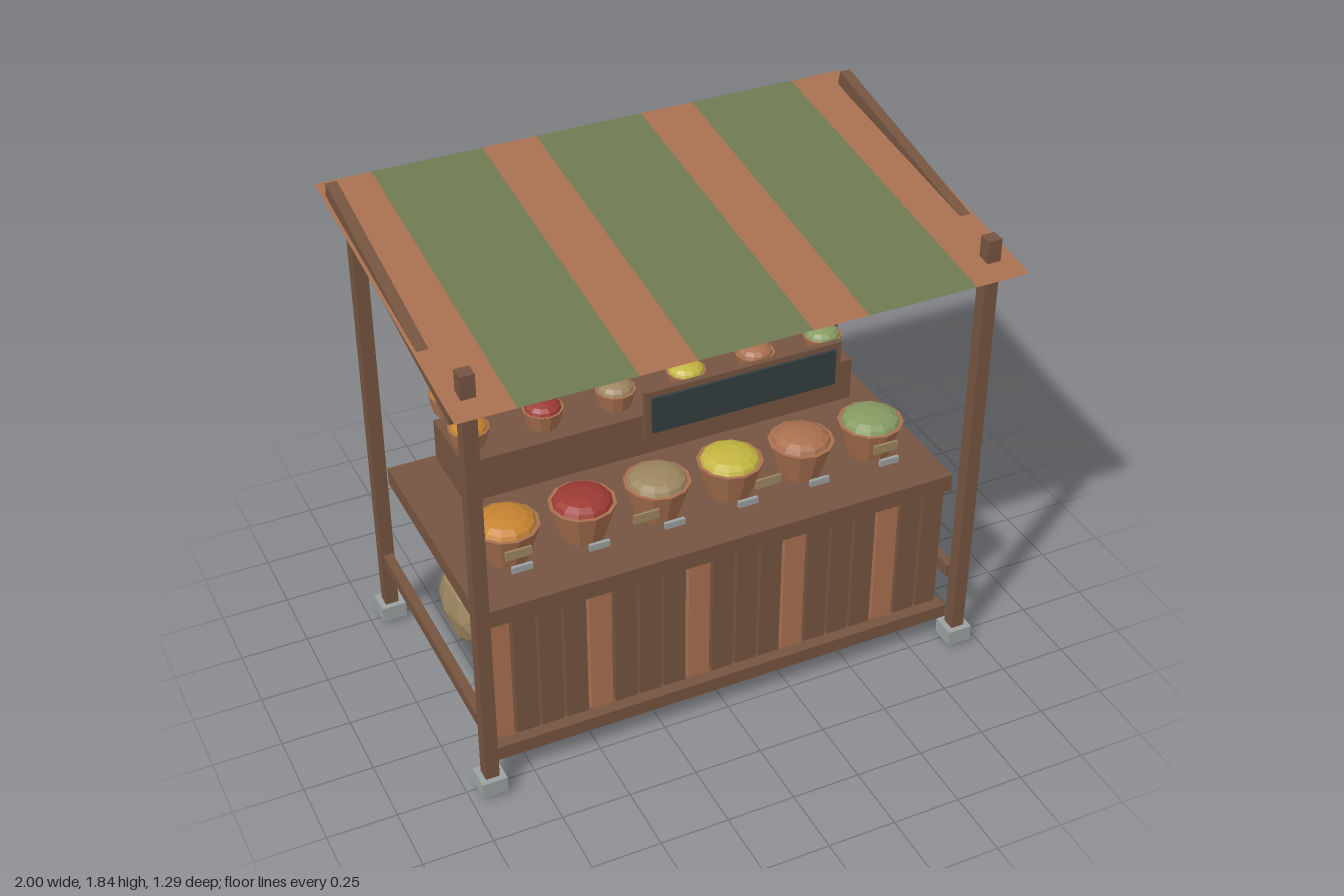
import * as THREE from 'three';

const mat = (name, color, side = THREE.FrontSide) => {
  const m = new THREE.MeshStandardMaterial({ color, flatShading: true, side });
  m.name = name;
  return m;
};

export function createModel() {
  const wood = mat('brown wood', 0x755440);
  const clay = mat('terracotta', 0xa8704f, THREE.DoubleSide);
  const canvas = mat('canvas green', 0x6e7852, THREE.DoubleSide);
  const burlap = mat('tan burlap', 0x9c8560);
  const orange = mat('orange spice', 0xc68330);
  const red = mat('red spice', 0x9c3a34);
  const yellow = mat('yellow spice', 0xc2b440);
  const herb = mat('herb green', 0x869a62);
  const grey = mat('pale grey', 0x9ba0a0);
  const slate = mat('dark slate', 0x343e40);
  const goods = [orange, red, burlap, yellow, clay, herb];

  const model = new THREE.Group();
  const add = (name, geometry, material, x, y, z, parent = model) => {
    const mesh = new THREE.Mesh(geometry, material);
    mesh.name = name;
    mesh.position.set(x, y, z);
    parent.add(mesh);
    return mesh;
  };
  // Box given by its lower and upper limits
  const box = (name, material, x0, x1, y0, y1, z0, z1) =>
    add(name, new THREE.BoxGeometry(x1 - x0, y1 - y0, z1 - z0), material,
      (x0 + x1) / 2, (y0 + y1) / 2, (z0 + z1) / 2);

  // Frame: posts on stone feet, side rails and sloping rafters
  for (const s of [-1, 1]) {
    for (const [label, z] of [['front', 0.525], ['back', -0.495]]) {
      add(label + 'Post', new THREE.BoxGeometry(0.05, 1.65, 0.05), wood, s * 0.92, 0.905, z);
      add(label + 'Foot', new THREE.BoxGeometry(0.092, 0.06, 0.092), grey, s * 0.92, 0.055, z);
    }
    add('sideRail', new THREE.BoxGeometry(0.035, 0.048, 0.94), wood, s * 0.92, 0.294, 0);
    const rafter = add('rafter', new THREE.BoxGeometry(0.04, 0.052, 1.14), wood, s * 0.968, 1.708, 0);
    rafter.rotation.x = 0.19;
  }
  box('frontBeam', wood, -0.92, 0.92, 1.583, 1.626, 0.503, 0.547);

  // Striped canvas roof
  const edges = [-1, -0.8, -0.4, -0.2, 0.2, 0.4, 0.8, 1];
  const roof = new THREE.Group();
  roof.name = 'canvasRoof';
  roof.position.set(0, 1.715, -0.003);
  roof.rotation.x = Math.atan2(0.16, 1.29);
  model.add(roof);
  for (let i = 0; i < 7; i++) {
    const strip = new THREE.PlaneGeometry(edges[i + 1] - edges[i], 1.3).rotateX(-Math.PI / 2);
    add('roofStripe', strip, i % 2 ? canvas : clay, (edges[i] + edges[i + 1]) / 2, 0, 0, roof);
  }

  // Counter with slatted front
  box('counterTop', wood, -0.9, 0.9, 0.657, 0.724, -0.44, 0.457);
  box('bottomRail', wood, -0.9, 0.9, 0.096, 0.15, 0.435, 0.49);
  for (let i = 0; i < 19; i++) {
    add('frontSlat', new THREE.BoxGeometry(0.081, 0.527, 0.036), i % 4 ? wood : clay,
      (i - 9) * 0.0928, 0.393, 0.428);
  }

  // Display step and jar shelf
  box('displayStep', wood, -0.753, 0.753, 0.798, 0.963, -0.325, -0.035);
  box('jarShelf', wood, -0.763, 0.763, 1.226, 1.255, -0.5, -0.22);

  // Spice pots: tapered bowl with a heaped filling
  const pot = (name, filling, x, y, z, rTop, rBottom, h, heap) => {
    const g = new THREE.Group();
    g.name = name;
    g.position.set(x, y, z);
    model.add(g);
    add('bowl', new THREE.CylinderGeometry(rTop, rBottom, h, 12), clay, 0, h / 2, 0, g);
    const dome = new THREE.SphereGeometry(rTop * 0.9, 12, 4, 0, Math.PI * 2, 0, Math.PI / 2);
    add('heap', dome.scale(1, heap / (rTop * 0.9), 1), filling, 0, h - 0.002, 0, g);
  };
  goods.forEach((filling, i) => {
    const k = i - 2.5;
    pot('largePot', filling, k * 0.28, 0.73, 0.205, 0.119, 0.077, 0.135, 0.04);
    pot('smallFrontPot', filling, k * 0.275, 0.963, -0.146, 0.074, 0.057, 0.067, 0.033);
    pot('smallBackPot', filling, k * 0.275, 0.988, -0.328, 0.076, 0.06, 0.072, 0.03);
    // Lidded jar
    add('jar', new THREE.CylinderGeometry(0.07, 0.07, 0.2, 12), filling, k * 0.28, 1.368, -0.36);
    add('jarLid', new THREE.CylinderGeometry(0.083, 0.083, 0.022, 12), grey, k * 0.28, 1.474, -0.36);
    // Metal scoop plate
    add('scoop', new THREE.BoxGeometry(0.075, 0.024, 0.013), grey, k * 0.28, 0.776, 0.346);
  });

  // Price tags
  for (let i = 0; i < 4; i++) {
    add('priceTag', new THREE.BoxGeometry(0.095, 0.035, 0.009), burlap, (i - 1.5) * 0.467, 0.816, 0.318);
  }

  // Hanging board
  box('boardFrame', wood, -0.348, 0.348, 1.332, 1.506, 0.545, 0.566);
  box('boardSlate', slate, -0.326, 0.326, 1.354, 1.485, 0.566, 0.575);

  // Sacks under the counter
  const sack = (name, x, y, z, rx, ry, rz) =>
    add(name, new THREE.IcosahedronGeometry(1, 1).scale(rx, ry, rz), burlap, x, y, z);
  for (let i = -2; i <= 2; i++) sack('smallSack', i * 0.335, 0.146, -0.275, 0.105, 0.14, 0.125);
  for (const s of [-1, 1]) {
    sack('largeSack', s * 0.655, 0.205, -0.215, 0.148, 0.185, 0.213);
    add('sackTop', new THREE.SphereGeometry(1, 10, 6).scale(0.068, 0.03, 0.088), grey, s * 0.655, 0.376, -0.215);
  }
  return model;
}
